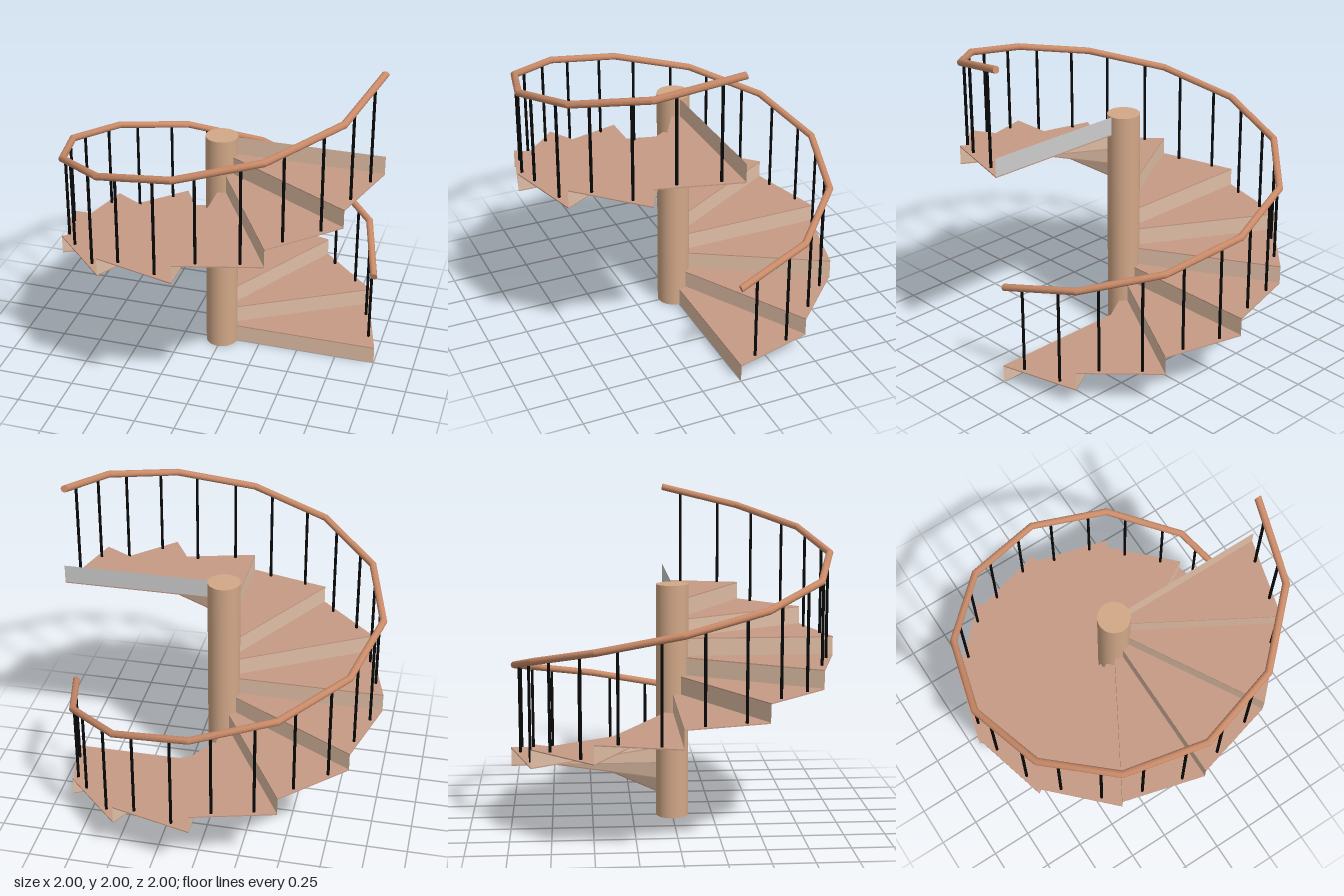
import * as THREE from 'three';
import { toCreasedNormals } from 'three/addons/utils/BufferGeometryUtils.js';

const STEPS = 12, RISE = 0.1125, TURN = Math.PI / 6;
const POST_R = 0.1, INNER = 0.095, THICK = 0.007;
const RAIL_R = 0.97, RAIL_Y = 0.633, TUBE_R = 0.0215;

const mat = (color, side = THREE.FrontSide) => new THREE.MeshStandardMaterial({ color, side });
const postMat = mat(0xd2a888);
const riserMat = mat(0xe0bea5, THREE.DoubleSide);
const topRiserMat = mat(0xe0bea5);
const treadMat = mat(0xc59a85);
const railMat = mat(0xc98a68);
const iron = mat(0x080808);
const grey = mat(0xcccccc);

function add(parent, name, geometry, material) {
  const mesh = new THREE.Mesh(geometry, material);
  mesh.name = name;
  parent.add(mesh);
  return mesh;
}

// Wedge outline of one tread with a straight outer edge; dir = -1 mirrors it
function wedge(dir) {
  const c = Math.cos(TURN), s = Math.sin(TURN) * dir;
  return new THREE.Shape([
    new THREE.Vector2(INNER, 0), new THREE.Vector2(1, 0),
    new THREE.Vector2(c, s), new THREE.Vector2(INNER * c, INNER * s),
  ]);
}

// Upright riser panel standing in the plane z = 0, facing +z
function riserPanel(height) {
  return new THREE.PlaneGeometry(1 - INNER, height).translate((1 + INNER) / 2, height / 2, 0);
}

// Faceted helical handrail: mitred rings joined by straight tube segments
function handrailGeometry(sides = 16) {
  const positions = [], index = [];
  const slope = Math.atan2(RISE, 2 * RAIL_R * Math.sin(TURN / 2));
  for (let k = 0; k <= STEPS; k++) {
    const a = k * TURN;
    const out = new THREE.Vector3(Math.cos(a), 0, -Math.sin(a));
    const along = new THREE.Vector3(-Math.sin(a), 0, -Math.cos(a));
    const up = new THREE.Vector3(0, Math.cos(slope), 0).addScaledVector(along, -Math.sin(slope));
    for (let j = 0; j < sides; j++) {
      const b = (j / sides) * Math.PI * 2;
      const p = out.clone().multiplyScalar(RAIL_R + Math.cos(b) * TUBE_R / Math.cos(TURN / 2));
      p.y += RAIL_Y + k * RISE;
      p.addScaledVector(up, Math.sin(b) * TUBE_R);
      positions.push(p.x, p.y, p.z);
    }
  }
  for (let k = 0; k < STEPS; k++) {
    for (let j = 0; j < sides; j++) {
      const a = k * sides + j, b = k * sides + (j + 1) % sides;
      const c = a + sides, d = b + sides;
      index.push(a, c, b, b, c, d);
    }
  }
  // end caps
  const last = STEPS * sides;
  for (let j = 1; j < sides - 1; j++) {
    index.push(0, j, j + 1, last, last + j + 1, last + j);
  }
  const g = new THREE.BufferGeometry();
  g.setAttribute('position', new THREE.Float32BufferAttribute(positions, 3));
  g.setIndex(index);
  return toCreasedNormals(g, THREE.MathUtils.degToRad(26));
}

export function createModel() {
  const model = new THREE.Group();
  model.name = 'spiralStaircase';

  // Central post
  const height = (STEPS + 1) * RISE;
  add(model, 'centralPost', new THREE.CylinderGeometry(POST_R, POST_R, height, 32), postMat)
    .position.y = height / 2;

  const treadGeo = new THREE.ExtrudeGeometry(wedge(1), { depth: THICK, bevelEnabled: false })
    .rotateX(-Math.PI / 2).translate(0, RISE - THICK, 0);
  const undersideGeo = new THREE.ShapeGeometry(wedge(-1))
    .rotateX(Math.PI / 2).translate(0, RISE - THICK - 0.001, 0);
  const riserGeo = riserPanel(RISE - THICK);

  // Steps, each with its riser, tread and two balusters
  for (let k = 0; k < STEPS; k++) {
    const step = new THREE.Group();
    step.name = `step${k + 1}`;
    step.position.y = k * RISE;
    step.rotation.y = k * TURN;
    add(step, 'riser', riserGeo, riserMat);
    add(step, 'tread', treadGeo, treadMat);
    add(step, 'treadUnderside', undersideGeo, grey);
    for (const t of [0.25, 0.75]) {
      const top = RAIL_Y + t * RISE;
      const bar = add(step, 'baluster', new THREE.CylinderGeometry(0.009, 0.009, top - RISE, 10), iron);
      bar.position.set(
        RAIL_R * (1 - t + t * Math.cos(TURN)),
        (top + RISE) / 2,
        -RAIL_R * t * Math.sin(TURN),
      );
    }
    model.add(step);
  }

  // Last riser, up to the landing, with a plain back
  const topRiser = new THREE.Group();
  topRiser.name = 'topRiser';
  topRiser.position.y = STEPS * RISE;
  add(topRiser, 'topRiserFront', riserPanel(RISE), topRiserMat);
  add(topRiser, 'topRiserBack', riserPanel(RISE).rotateY(Math.PI).translate(1 + INNER, 0, 0), grey);
  model.add(topRiser);

  add(model, 'handrail', handrailGeometry(), railMat);
  return model;
}
